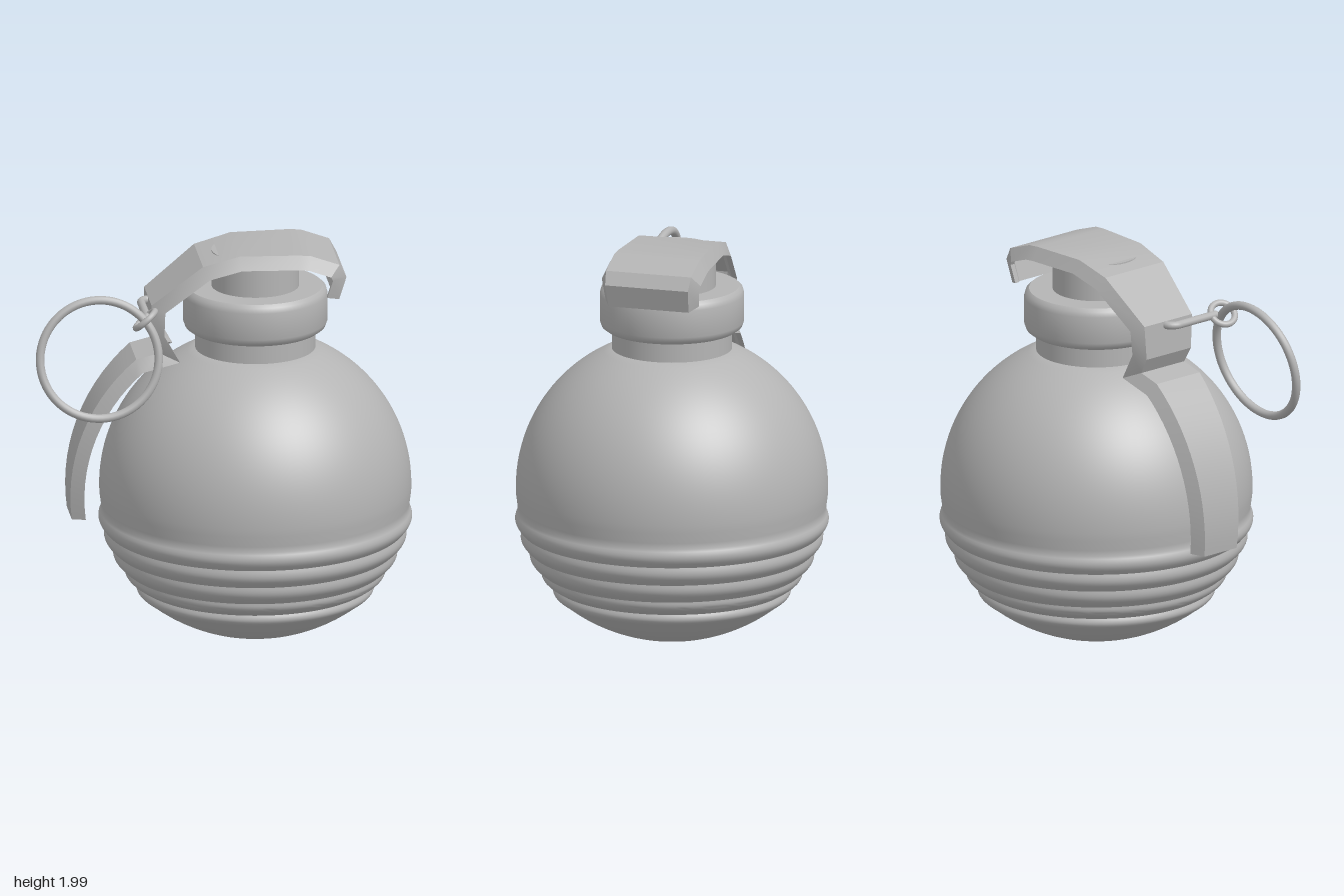
import * as THREE from 'three';
import { toCreasedNormals } from 'three/addons/utils/BufferGeometryUtils.js';

const V2 = (x, y) => new THREE.Vector2(x, y);

// Solid channel swept along a path of [x, y, halfWidth]; sides flare down and out.
function channel(path, depth, flare, wall) {
  const normalOf = (a, b) => V2(a[1] - b[1], b[0] - a[0]).normalize();
  const pos = [], idx = [], last = path.length - 1;
  path.forEach((p, i) => {
    const n0 = normalOf(path[Math.max(i - 1, 0)], path[Math.max(i, 1)]);
    const n1 = normalOf(path[Math.min(i, last - 1)], path[Math.min(i + 1, last)]);
    const n = n0.clone().add(n1).normalize();
    n.divideScalar(Math.max(n.dot(n0), 0.6));
    const w = p[2];
    const section = [[-w, 0], [w, 0], [w + flare, -depth], [w + flare - wall, -depth], [w - wall, -wall],
      [wall - w, -wall], [wall - w - flare, -depth], [-w - flare, -depth]];
    section.forEach(([z, h]) => pos.push(p[0] + n.x * h, p[1] + n.y * h, z));
  });
  const quad = (a, b, c, d) => idx.push(a, b, d, b, c, d);
  for (let i = 0; i < last; i++) {
    for (let j = 0; j < 8; j++) {
      const k = (j + 1) % 8;
      quad(i * 8 + j, i * 8 + k, i * 8 + 8 + k, i * 8 + 8 + j);
    }
  }
  // End caps
  for (const [a, b, c, d] of [[0, 1, 4, 5], [1, 2, 3, 4], [0, 5, 6, 7]]) {
    const e = last * 8;
    quad(e + a, e + b, e + c, e + d);
    quad(d, c, b, a);
  }
  const g = new THREE.BufferGeometry();
  g.setAttribute('position', new THREE.Float32BufferAttribute(pos, 3));
  g.setIndex(idx);
  return toCreasedNormals(g, 0.4);
}

export function createModel() {
  const model = new THREE.Group();
  const metal = new THREE.MeshStandardMaterial({ color: 0xb4b4b4 });
  metal.name = 'grey metal';
  const add = (parent, name, geometry) => {
    const mesh = new THREE.Mesh(geometry, metal);
    mesh.name = name;
    parent.add(mesh);
    return mesh;
  };
  const lathe = (points) => toCreasedNormals(new THREE.LatheGeometry(points, 96), 0.6);

  // Everything but the rings is laid out along the lever, then turned
  const main = new THREE.Group();
  main.name = 'main';
  main.position.set(0.04, 0, -0.055);
  main.rotation.y = Math.PI + 0.55;
  model.add(main);

  // Body: shallow dome, five stepped ribs, then a sphere
  const body = [];
  for (let i = 0; i < 12; i++) {
    const a = (i / 12) * Math.asin(0.54 / 0.862);
    body.push(V2(0.862 * Math.sin(a), 0.01 + 0.862 * (1 - Math.cos(a))));
  }
  const notches = [[0.54, 0.2], [0.575, 0.27], [0.64, 0.35], [0.695, 0.45], [0.735, 0.55], [0.755, 0.65]];
  for (let i = 0; i < 5; i++) {
    const [r0, y0] = notches[i], [r1, y1] = notches[i + 1];
    for (let k = 0; k < 8; k++) {
      const t = k / 8;
      body.push(V2(r0 + (r1 - r0) * t + 0.023 * Math.sin(Math.PI * t), y0 + (y1 - y0) * t));
    }
  }
  body.push(V2(0.755, 0.65), V2(0.757, 0.68));
  for (let i = 0; i <= 24; i++) {
    const a = -0.05 + (i / 24) * 1.22;
    body.push(V2(0.765 * Math.cos(a), 0.77 + 0.765 * Math.sin(a)));
  }
  body.push(V2(0, 1.474));
  add(main, 'body', lathe(body));

  // Neck, collar and post
  add(main, 'neck', new THREE.CylinderGeometry(0.295, 0.295, 0.16, 64)).position.y = 1.52;
  add(main, 'collar', lathe([V2(0, 1.575), V2(0.325, 1.575), V2(0.345, 1.59), V2(0.354, 1.615),
    V2(0.354, 1.75), V2(0.347, 1.775), V2(0.33, 1.79), V2(0, 1.79)]));
  add(main, 'post', new THREE.CylinderGeometry(0.215, 0.215, 0.2, 48)).position.y = 1.875;

  // Lever: hooked head, sloping neck, fold, and tail following the body
  const path = [[-0.39, 1.765, 0.205], [-0.425, 1.88, 0.212], [-0.39, 1.945, 0.218], [-0.25, 1.995, 0.218],
    [-0.19, 2.0, 0.216], [0.1, 2.0, 0.2], [0.28, 1.95, 0.19], [0.53, 1.75, 0.155],
    [0.535, 1.58, 0.145], [0.49, 1.5, 0.14]];
  for (let i = 0; i <= 14; i++) {
    const t = i / 14, a = 0.86 - t * 0.99;
    path.push([0.925 * Math.cos(a), 0.77 + 0.925 * Math.sin(a), 0.14 - 0.035 * t]);
  }
  add(main, 'lever', channel(path, 0.065, 0.035, 0.025));

  // Bent safety pin across the lever
  const pin = new THREE.CatmullRomCurve3([[0.47, 0.01], [0.54, 0.01], [0.565, -0.02], [0.567, -0.06],
    [0.567, -0.16], [0.567, -0.275]].map(([x, z]) => new THREE.Vector3(x, 1.73, z)));
  add(main, 'pin', new THREE.TubeGeometry(pin, 32, 0.02, 12));
  add(main, 'pinTip', new THREE.SphereGeometry(0.02, 12, 8)).position.set(0.567, 1.73, -0.275);

  // Small link and large pull ring: name, radius, tube, centre, axis
  for (const [name, r, tube, centre, axis] of [
    ['linkRing', 0.062, 0.016, [-0.29, 1.73, 0.515], [-0.65, 0.75, 0.2]],
    ['pullRing', 0.292, 0.021, [-0.476, 1.54, 0.65], [0.5, 0.19, 0.845]],
  ]) {
    const ring = add(model, name, new THREE.TorusGeometry(r, tube, 14, 72));
    ring.position.set(...centre);
    ring.quaternion.setFromUnitVectors(new THREE.Vector3(0, 0, 1), new THREE.Vector3(...axis).normalize());
  }
  return model;
}
